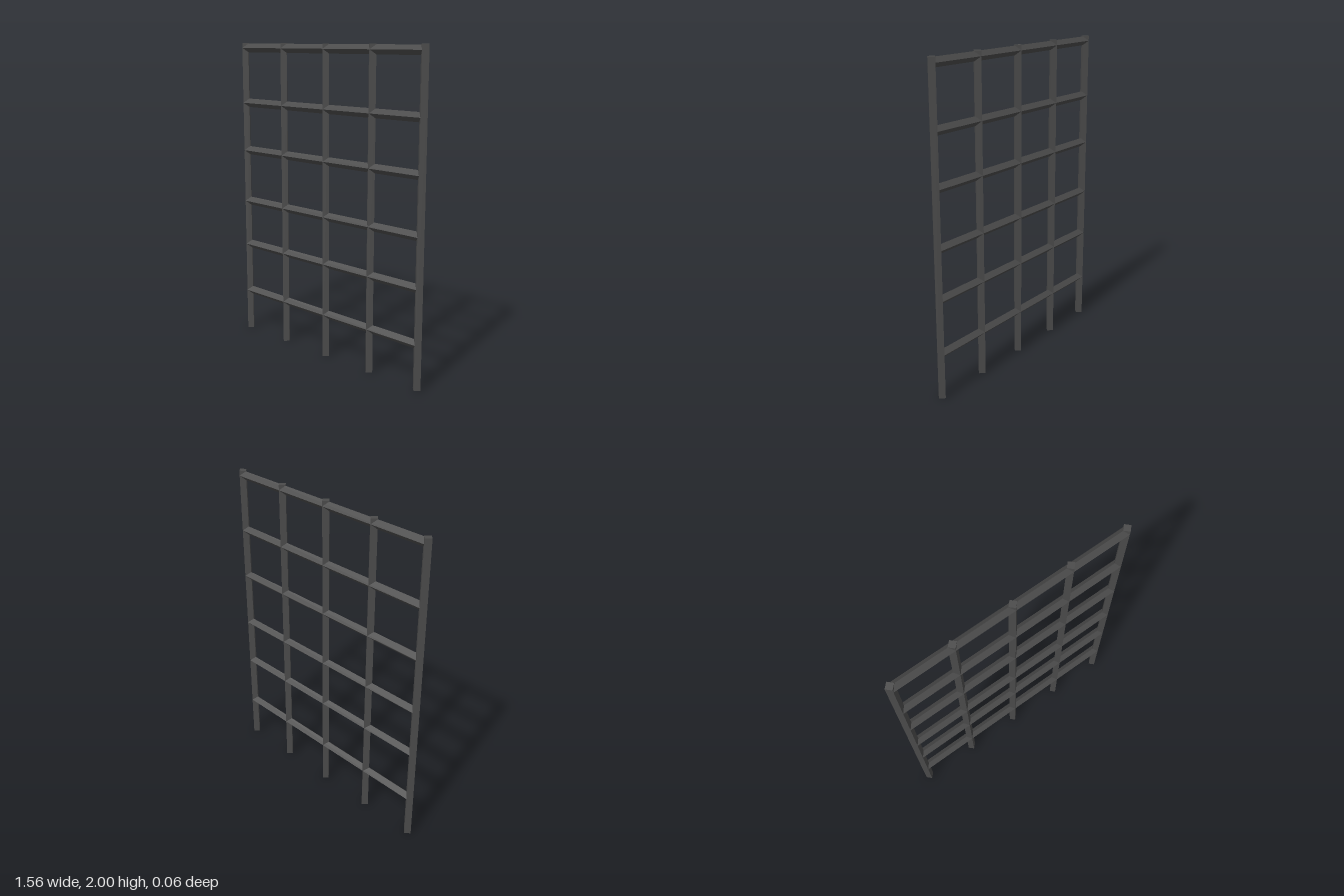
import * as THREE from 'three';

const RADIUS = 0.0285;

export function createModel() {
  const group = new THREE.Group();
  group.name = 'barredGrate';

  const iron = new THREE.MeshStandardMaterial({ color: 0x4a4a4a, flatShading: true });
  iron.name = 'darkIron';

  // Square bars set on edge, so each has a diamond cross-section
  const uprightGeometry = new THREE.CylinderGeometry(RADIUS, RADIUS, 2, 4);
  const crossGeometry = new THREE.CylinderGeometry(RADIUS, RADIUS, 1.5, 4).rotateZ(Math.PI / 2);

  // Five evenly spaced upright bars
  for (let i = 0; i < 5; i++) {
    const bar = new THREE.Mesh(uprightGeometry, iron);
    bar.name = `uprightBar${i + 1}`;
    bar.position.set((i - 2) * 0.375, 1, 0);
    group.add(bar);
  }

  // Six cross bars at slightly uneven heights, ending inside the outer uprights
  [0.281, 0.62, 0.928, 1.281, 1.604, 1.968].forEach((y, i) => {
    const bar = new THREE.Mesh(crossGeometry, iron);
    bar.name = `crossBar${i + 1}`;
    bar.position.y = y;
    group.add(bar);
  });

  return group;
}
